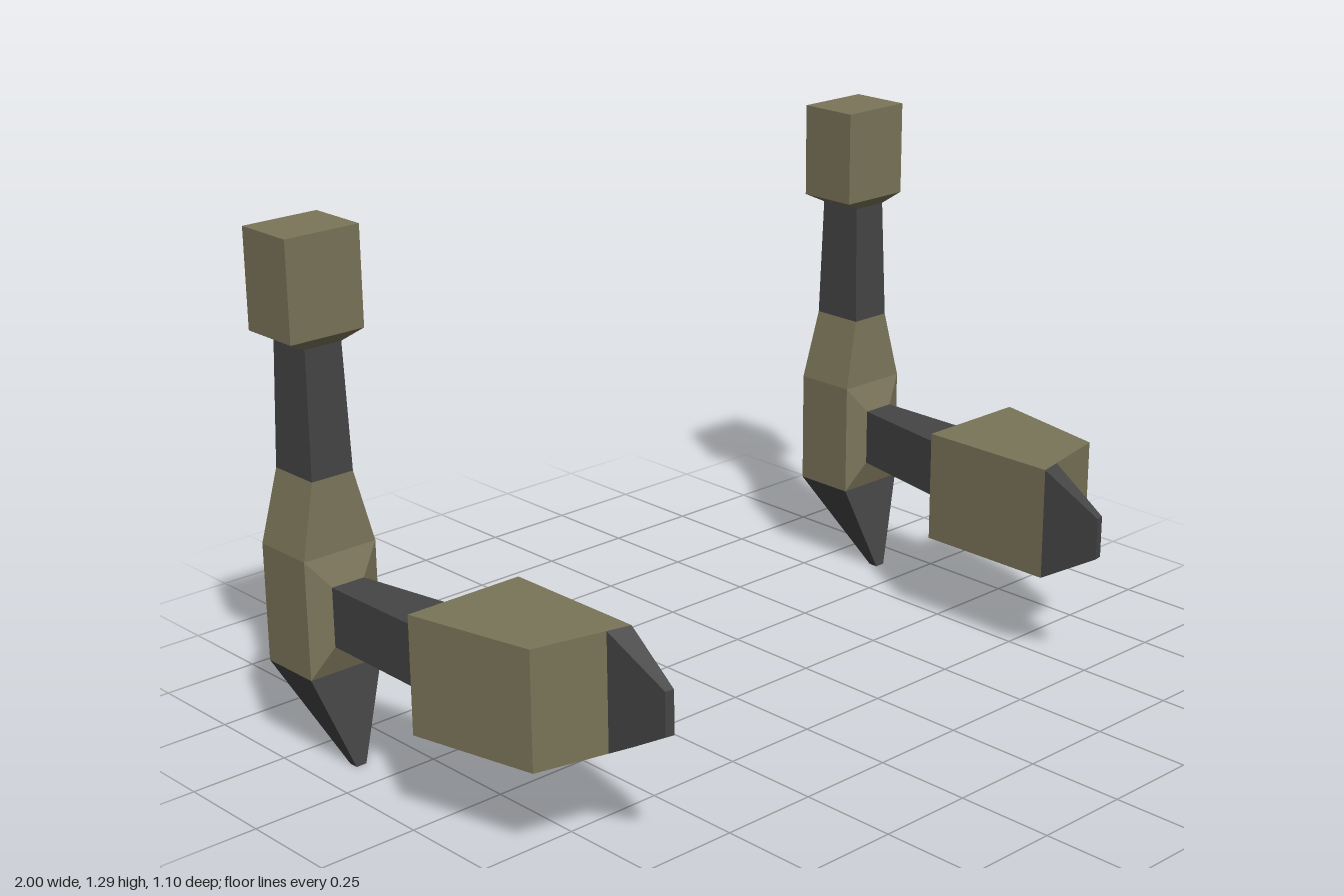
import * as THREE from 'three';

const olive = new THREE.MeshStandardMaterial({ color: 0x7a7559 });
olive.name = 'olive armour';
const dark = new THREE.MeshStandardMaterial({ color: 0x454545 });
dark.name = 'dark metal';

// Four-cornered cross-sections, counter-clockwise seen from +y or +z
const level = (y, x0, x1, z0, z1) => [[x0, y, z1], [x1, y, z1], [x1, y, z0], [x0, y, z0]];
const upright = (x0, x1, y0, y1, zIn, zOut = zIn) =>
  [[x0, y0, zIn], [x1, y0, zOut], [x1, y1, zOut], [x0, y1, zIn]];

// Closed flat-sided loft through the sections, mirrored when side is -1
function loft(name, material, side, sections) {
  const pos = [];
  const quad = (a, b, c, d) => {
    const tris = side > 0 ? [a, b, c, a, c, d] : [a, c, b, a, d, c];
    tris.forEach(([x, y, z]) => pos.push(x * side, y, z));
  };
  for (let s = 0; s < sections.length - 1; s++) {
    const lo = sections[s], hi = sections[s + 1];
    for (let i = 0; i < 4; i++) {
      const j = (i + 1) % 4;
      quad(lo[i], lo[j], hi[j], hi[i]);
    }
  }
  quad(...[...sections[0]].reverse());
  quad(...sections[sections.length - 1]);
  const geometry = new THREE.BufferGeometry();
  geometry.setAttribute('position', new THREE.Float32BufferAttribute(pos, 3));
  geometry.computeVertexNormals();
  const mesh = new THREE.Mesh(geometry, material);
  mesh.name = name;
  return mesh;
}

function buildArm(side) {
  const arm = new THREE.Group();
  arm.name = side > 0 ? 'leftArm' : 'rightArm';
  const add = (name, material, ...sections) => arm.add(loft(name, material, side, sections));

  // Sections shared by neighbouring parts
  const neck = level(1.02, 0.84, 0.94, -0.525, -0.405);
  const collar = level(0.71, 0.834, 0.948, -0.535, -0.395);
  const elbowBase = level(0.235, 0.79, 0.99, -0.548, -0.383);
  const socket = upright(0.845, 0.935, 0.312, 0.46, -0.358);
  const wrist = upright(0.78, 0.935, 0.308, 0.46, 0);

  // Upright upper arm, from the shoulder block down to the elbow spike
  add('shoulderBlock', olive, neck,
    level(1.045, 0.79, 0.99, -0.546, -0.385), level(1.287, 0.79, 0.99, -0.546, -0.385));
  add('upperShaft', dark, collar, neck);
  add('elbowBody', olive, elbowBase, level(0.53, 0.79, 0.99, -0.548, -0.383), collar);
  add('elbowSpike', dark, level(0, 0.877, 0.905, -0.367, -0.342), elbowBase);

  // Forearm reaching forward
  add('elbowSocket', olive, upright(0.79, 0.99, 0.235, 0.53, -0.383), socket);
  add('forearmShaft', dark, socket, wrist);
  add('gunHousing', olive, wrist,
    upright(0.69, 1, 0.24, 0.529, 0.015), upright(0.69, 0.93, 0.24, 0.53, 0.395, 0.342));
  add('muzzle', dark,
    upright(0.69, 0.75, 0.24, 0.53, 0.395, 0.382), upright(0.71, 0.732, 0.33, 0.437, 0.55, 0.546));
  return arm;
}

export function createModel() {
  const model = new THREE.Group();
  model.name = 'armPair';
  model.add(buildArm(1), buildArm(-1));
  return model;
}
